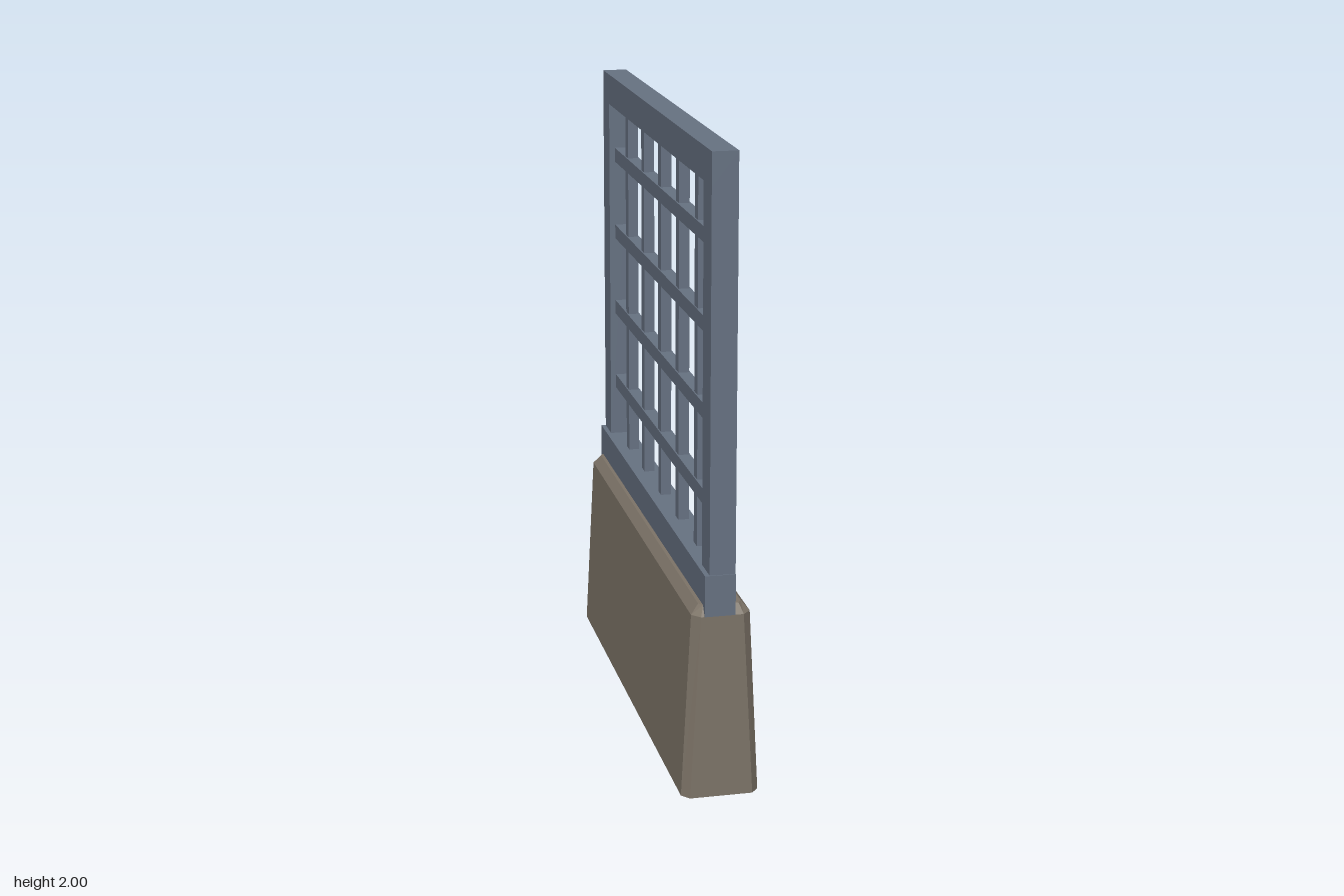
import * as THREE from 'three';

export function createModel() {
  const model = new THREE.Group();
  const steel = new THREE.MeshStandardMaterial({ name: 'blue grey steel', color: 0x677282 });
  const stone = new THREE.MeshStandardMaterial({
    name: 'brown stone', color: 0x7d7468, side: THREE.DoubleSide, flatShading: true,
  });

  const box = (parent, name, w, h, d, x, y, z) => {
    const mesh = new THREE.Mesh(new THREE.BoxGeometry(w, h, d), steel);
    mesh.name = name;
    mesh.position.set(x, y, z);
    parent.add(mesh);
  };

  // Tapered plinth with chamfered corners, open underneath
  const ring = (y, hx, hz, ex, ez) => [
    [hx, -ez], [hx, ez], [ex, hz], [-ex, hz],
    [-hx, ez], [-hx, -ez], [-ex, -hz], [ex, -hz],
  ].map(([x, z]) => [x, y, z]);
  const rings = [
    ring(0, 0.121, 0.805, 0.098, 0.778),
    ring(0.59, 0.091, 0.805, 0.066, 0.778),
    ring(0.62, 0.066, 0.782, 0.055, 0.765),
  ];
  const pos = [];
  for (let r = 0; r < 2; r++) {
    for (let i = 0; i < 8; i++) {
      const j = (i + 1) % 8;
      const [a, b, c, d] = [rings[r][i], rings[r][j], rings[r + 1][i], rings[r + 1][j]];
      pos.push(...a, ...c, ...b, ...b, ...c, ...d);
    }
  }
  for (let i = 0; i < 8; i++) pos.push(0, 0.62, 0, ...rings[2][(i + 1) % 8], ...rings[2][i]);
  const geo = new THREE.BufferGeometry();
  geo.setAttribute('position', new THREE.Float32BufferAttribute(pos, 3));
  geo.computeVertexNormals();
  const plinth = new THREE.Mesh(geo, stone);
  plinth.name = 'plinth';
  model.add(plinth);

  // Outer frame, with a wider sill on one side
  const frame = new THREE.Group();
  frame.name = 'frame';
  model.add(frame);
  box(frame, 'sill', 0.095, 0.13, 1.614, -0.0075, 0.655, 0);
  box(frame, 'topRail', 0.08, 0.102, 1.606, 0, 1.949, 0);
  for (const s of [-1, 1]) box(frame, 'post', 0.08, 1.178, 0.1, 0, 1.309, s * 0.753);

  // Lattice
  const lattice = new THREE.Group();
  lattice.name = 'lattice';
  model.add(lattice);
  for (let i = -2; i <= 2; i++) box(lattice, 'uprightBar', 0.034, 1.178, 0.043, 0, 1.309, i * 0.258);
  for (let i = 0; i < 4; i++) box(lattice, 'crossBar', 0.042, 0.048, 1.406, 0, 0.912 + i * 0.27, 0);

  return model;
}
